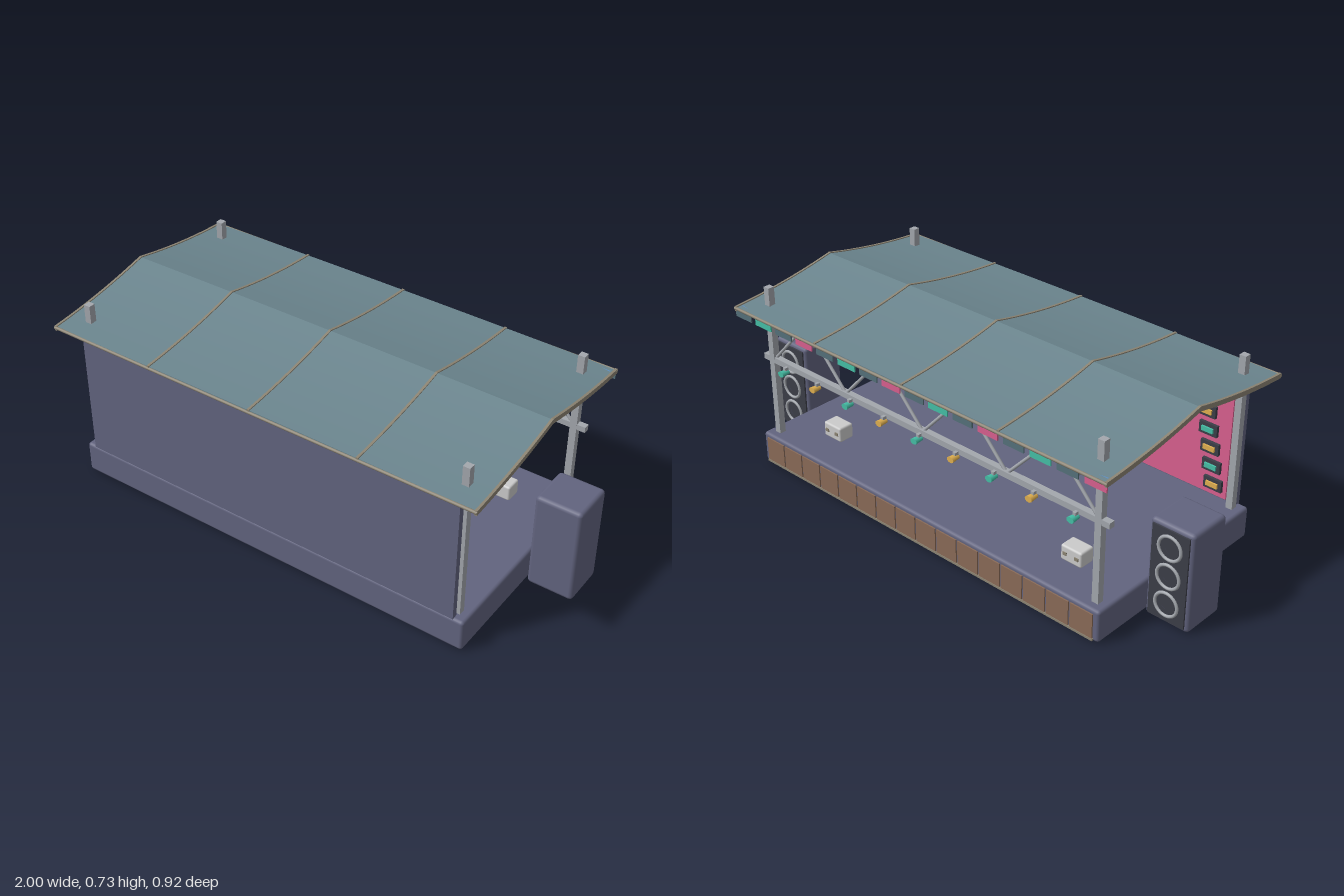
import * as THREE from 'three';
import { RoundedBoxGeometry } from 'three/addons/geometries/RoundedBoxGeometry.js';
import { toCreasedNormals } from 'three/addons/utils/BufferGeometryUtils.js';

const mat = (color) => new THREE.MeshStandardMaterial({ color });
const M = {
  grey: mat(0xcccccc), steel: mat(0xa3a7ad), body: mat(0x62647f), dark: mat(0x3c3e48),
  roof: mat(0x6b858e), rib: mat(0x8c8473), wood: mat(0x8a6b58), pink: mat(0xd9608f),
  teal: mat(0x45bfa6), yellow: mat(0xe0b050), blue: mat(0x5f8fc0), slate: mat(0x55717a),
};

export function createModel() {
  const root = new THREE.Group();
  root.name = 'concertStage';

  const add = (name, geo, material, x = 0, y = 0, z = 0, parent = root) => {
    const mesh = new THREE.Mesh(geo, material);
    mesh.name = name;
    mesh.position.set(x, y, z);
    parent.add(mesh);
    return mesh;
  };
  const box = (name, w, h, d, material, x, y, z, parent) =>
    add(name, new THREE.BoxGeometry(w, h, d), material, x, y, z, parent);
  const rounded = (name, w, h, d, r, material, x, y, z, parent) =>
    add(name, new RoundedBoxGeometry(w, h, d, 2, r), material, x, y, z, parent);
  // Round bar between two points
  const bar = (name, a, b, r, material) => {
    const p = new THREE.Vector3(...a), q = new THREE.Vector3(...b);
    const dir = q.clone().sub(p);
    const mesh = add(name, new THREE.CylinderGeometry(r, r, dir.length(), 8), material);
    mesh.position.copy(p).add(q).multiplyScalar(0.5);
    mesh.quaternion.setFromUnitVectors(new THREE.Vector3(0, 1, 0), dir.normalize());
    return mesh;
  };

  // Deck, corner feet and rear wall
  rounded('deck', 1.64, 0.123, 0.82, 0.012, M.body, 0, 0.0665, 0);
  for (const x of [-0.77, 0.77]) for (const z of [-0.36, 0.36])
    add('foot', new THREE.CylinderGeometry(0.015, 0.015, 0.006, 12), M.dark, x, 0.003, z);
  box('rearWall', 1.56, 0.5, 0.022, M.body, 0, 0.376, 0.398);

  // Wooden apron on the audience side
  const planks = 16, pw = 1.6 / planks;
  for (let i = 0; i < planks; i++)
    box('apronPlank', pw - 0.007, 0.1, 0.006, M.wood, -0.8 + pw * (i + 0.5), 0.062, -0.412);
  box('apronRail', 1.6, 0.008, 0.008, M.rib, 0, 0.014, -0.413);

  // Coloured backdrop panels inside the rear wall
  box('pinkBackdrop', 0.5, 0.47, 0.006, M.pink, -0.49, 0.37, 0.384);
  box('tealBackdrop', 0.5, 0.47, 0.006, M.teal, 0.49, 0.37, 0.384);
  box('blueBackdrop', 0.46, 0.41, 0.006, M.blue, 0, 0.338, 0.384);
  box('yellowBanner', 0.46, 0.05, 0.006, M.yellow, 0, 0.58, 0.383);

  // Light steps in front of the backdrop
  for (const s of [-1, 1]) for (let i = 0; i < 5; i++) {
    const x = s * (0.69 - 0.012 * i), y = 0.185 + 0.07 * i;
    box('lightStep', 0.075, 0.045, 0.012, M.dark, x, y, 0.372);
    box('lightBar', 0.048, 0.018, 0.008, i % 2 ? M.teal : M.yellow, x, y, 0.363);
  }

  // Corner posts
  for (const x of [-0.775, 0.775]) for (const z of [-0.365, 0.365])
    box('post', 0.026, 0.602, 0.026, M.steel, x, 0.429, z);

  // Canopy: flat slabs bent to the curved roof line
  const roofY = (x, z) => 0.717 - 0.23 * Math.abs(z) + 0.19 * z * z - 0.005 * (x / 0.865) ** 2;
  const bentSlab = (name, w, h, d, nx, cx, material) => {
    const geo = new THREE.BoxGeometry(w, h, d, nx, 1, 24);
    geo.translate(cx, 0, 0);
    const p = geo.attributes.position;
    for (let i = 0; i < p.count; i++) p.setY(i, p.getY(i) + roofY(p.getX(i), p.getZ(i)));
    return add(name, toCreasedNormals(geo, 0.3), material);
  };
  bentSlab('canopy', 1.72, 0.011, 0.91, 12, 0, M.roof);
  for (let i = -2; i <= 2; i++) bentSlab('canopyRib', 0.009, 0.018, 0.914, 1, i * 0.43, M.rib);
  for (const z of [-0.455, 0.455])
    bar('eaveTrim', [-0.865, 0.648, z], [0.865, 0.648, z], 0.006, M.rib);

  // Lighting truss on the audience side
  const tz = -0.365, low = 0.44, high = 0.645;
  box('lowerBeam', 1.64, 0.022, 0.024, M.steel, 0, low, tz);
  box('upperBeam', 1.6, 0.018, 0.022, M.steel, 0, high, tz);
  const bays = 8, bw = 1.54 / bays;
  for (let i = 0; i < bays; i++) {
    const x = -0.77 + bw * i;
    bar('trussBrace', [x, i % 2 ? high : low, tz], [x + bw, i % 2 ? low : high, tz], 0.006, M.steel);
  }

  // Small lamps under the lower beam
  for (let i = 0; i < 9; i++) {
    const x = -0.69 + 0.1725 * i;
    box('lampBracket', 0.012, 0.012, 0.03, M.steel, x, 0.434, -0.377);
    const lamp = add('lamp', new THREE.CylinderGeometry(0.015, 0.012, 0.034, 12),
      i % 2 ? M.yellow : M.teal, x, 0.42, -0.393);
    lamp.rotation.x = -Math.PI / 2;
    lamp.scale.z = 0.75;
  }

  // Larger spotlights under the upper beam
  for (const x of [-0.22, 0, 0.22]) {
    box('spotlightBracket', 0.02, 0.02, 0.02, M.steel, x, 0.642, -0.365);
    rounded('spotlight', 0.042, 0.03, 0.042, 0.008, M.yellow, x, 0.629, -0.367);
  }

  // Blue strip light and hanging flags below the eave
  box('stripLight', 1.7, 0.018, 0.014, M.blue, 0, 0.645, -0.428);
  const flagColors = [M.pink, M.slate, M.teal, M.slate];
  for (let i = 0; i < 16; i++)
    box('eaveFlag', 0.085, 0.03, 0.005, flagColors[i % 4], -0.82 + 0.1093 * i, 0.632, -0.452);

  for (const s of [-1, 1]) {
    // Loudspeaker tower with three drivers
    const tower = new THREE.Group();
    tower.name = 'speakerTower';
    tower.position.set(s * 0.913, 0, 0);
    root.add(tower);
    rounded('speakerCabinet', 0.174, 0.38, 0.172, 0.015, M.body, 0, 0.194, -0.092, tower);
    box('speakerBaffle', 0.145, 0.35, 0.008, M.dark, 0, 0.194, -0.18, tower);
    for (const y of [0.085, 0.194, 0.303]) {
      add('driverRing', new THREE.TorusGeometry(0.044, 0.006, 8, 28), M.steel, 0, y, -0.185, tower);
      const cone = add('driverCone', new THREE.LatheGeometry([
        new THREE.Vector2(0.042, 0.004), new THREE.Vector2(0.018, 0.001),
        new THREE.Vector2(0.014, 0.006), new THREE.Vector2(0, 0.008)].reverse(), 28),
        M.body, 0, y, -0.184, tower);
      cone.rotation.x = -Math.PI / 2;
    }

    // Floor monitor with side knobs
    rounded('floorMonitor', 0.09, 0.06, 0.065, 0.008, M.grey, s * 0.585, 0.159, -0.24);
    for (const k of [-1, 1])
      box('monitorLatch', 0.016, 0.012, 0.006, M.rib, s * 0.585 + k * 0.025, 0.16, -0.273);
  }
  return root;
}
